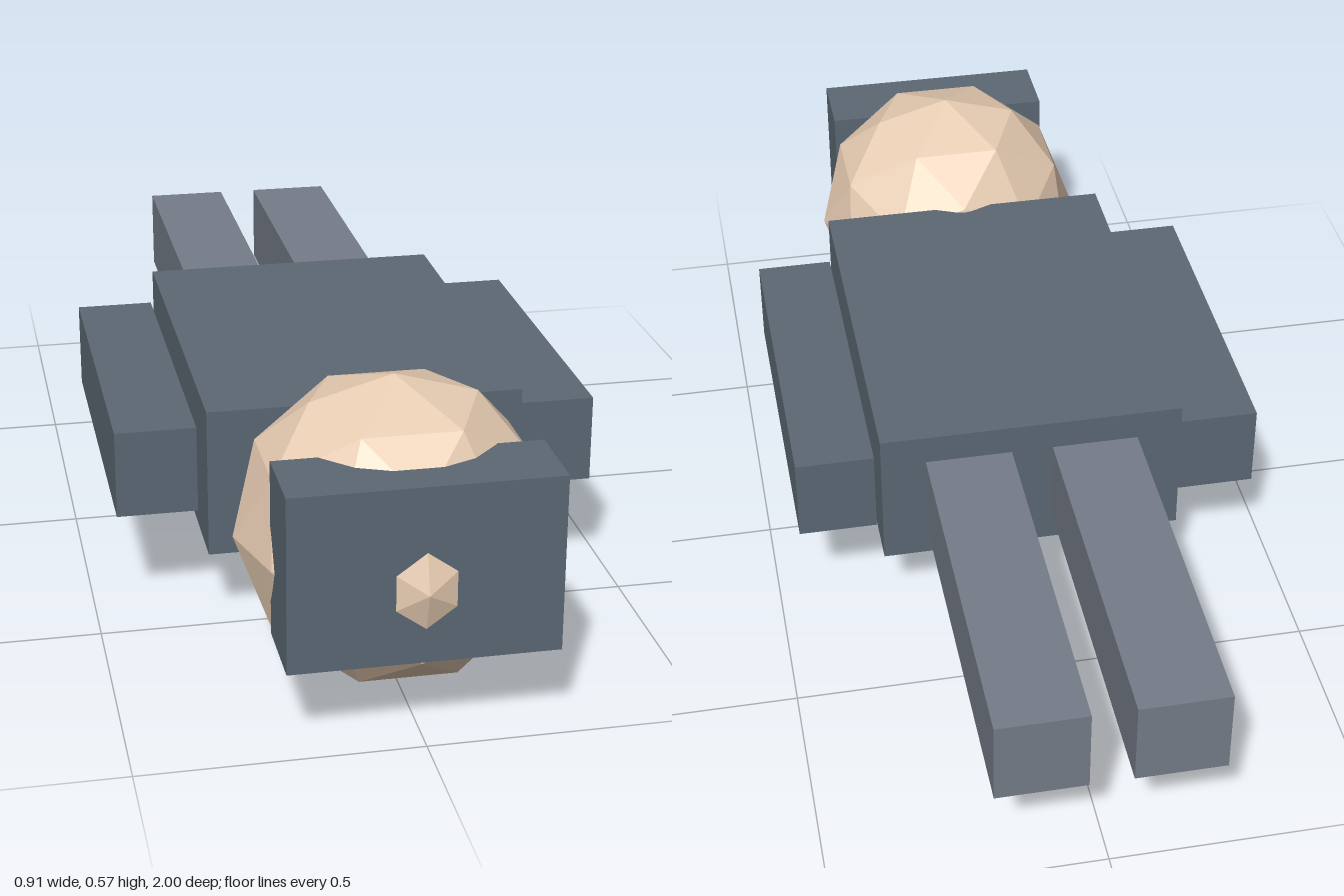
import * as THREE from 'three';

const MID = 0.287; // height of the body's centre line

export function createModel() {
  const model = new THREE.Group();
  const material = (color) => new THREE.MeshStandardMaterial({ color, flatShading: true });
  const suit = material(0x5c6874);
  const trousers = material(0x757d89);
  const skin = material(0xe8cdb3);
  const shirt = material(0xcccccc);
  const red = material(0xd05050);

  function add(name, geometry, mat, x, y, z) {
    const mesh = new THREE.Mesh(geometry, mat);
    mesh.name = name;
    mesh.position.set(x, y, z);
    model.add(mesh);
  }
  const box = (name, mat, w, h, d, x, y, z) =>
    add(name, new THREE.BoxGeometry(w, h, d), mat, x, y, z);

  // Figure lying face down, head towards +z
  box('torso', suit, 0.59, 0.285, 0.78, 0, MID, 0.105);
  add('head', new THREE.IcosahedronGeometry(0.284, 1), skin, 0, MID, 0.716);
  box('hair', suit, 0.474, 0.323, 0.15, 0, 0.315, 0.905);

  // Shirt front and tie on the underside
  box('shirtFront', shirt, 0.167, 0.03, 0.55, 0, 0.145, 0.165);
  box('tie', red, 0.042, 0.03, 0.38, 0, 0.135, 0.145);

  // Arms and legs, mirrored
  for (const [side, s] of [['left', 1], ['right', -1]]) {
    box(side + 'Arm', suit, 0.152, 0.168, 0.68, s * 0.38, MID, 0.085);
    box(side + 'Leg', trousers, 0.168, 0.168, 0.715, s * 0.124, MID, -0.6425);
  }
  return model;
}
